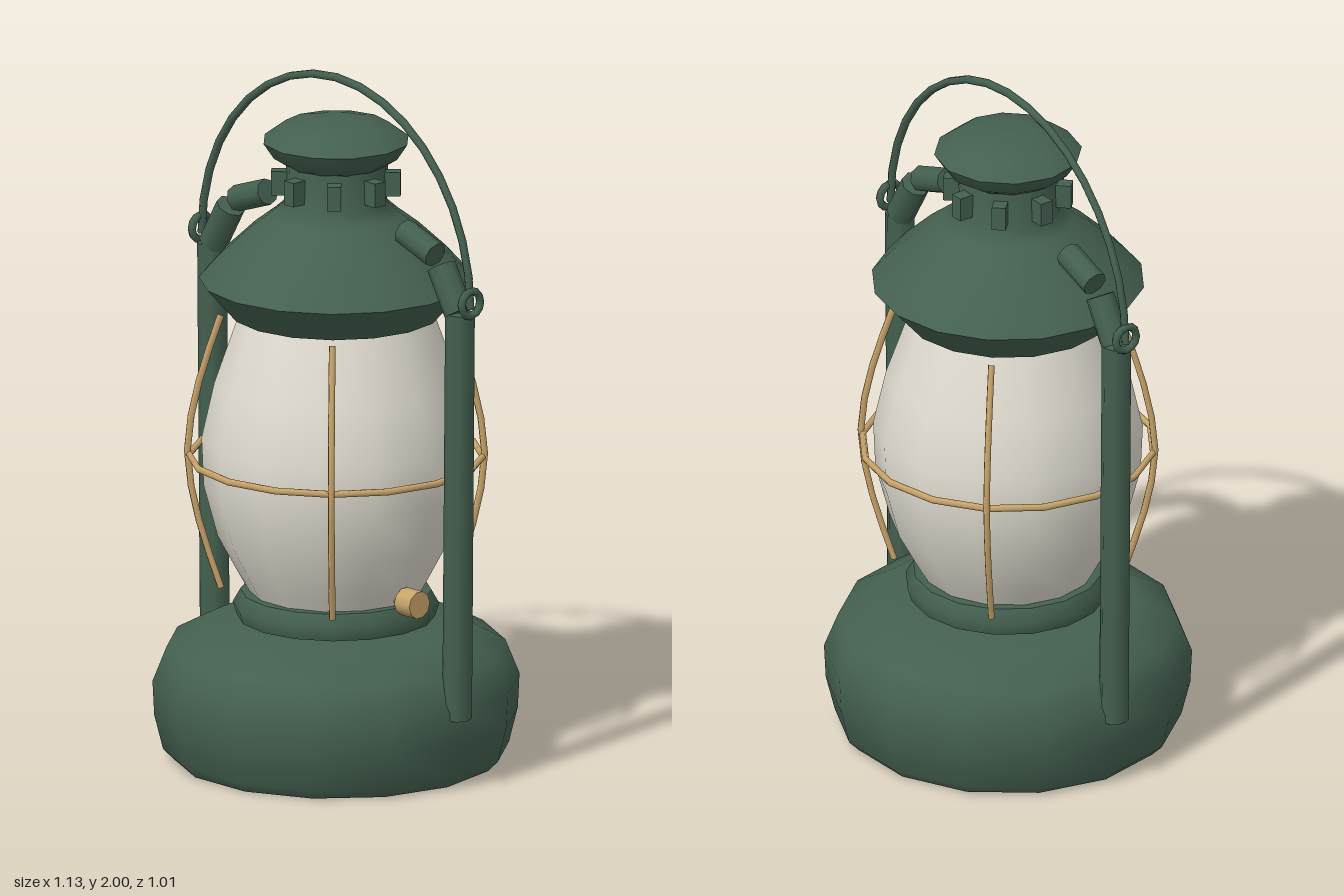
import * as THREE from 'three';

const V = (x, y, z = 0) => new THREE.Vector3(x, y, z);

export function createModel() {
  const group = new THREE.Group();
  const mat = (name, color) => {
    const m = new THREE.MeshStandardMaterial({ color });
    m.name = name;
    return m;
  };
  const green = mat('green enamel', 0x446050);
  const glass = mat('frosted glass', 0xe0dcd0);
  const brass = mat('brass', 0xc9a46a);

  const add = (name, geometry, material) => {
    const mesh = new THREE.Mesh(geometry, material);
    mesh.name = name;
    group.add(mesh);
    return mesh;
  };

  // Turned part; repeated profile points make a sharp edge
  const lathe = (name, profile, sides, material) => add(name, new THREE.LatheGeometry(
    profile.map(([r, y]) => new THREE.Vector2(r, y)), sides,
    sides % 4 ? Math.PI / sides : 0), material);

  // Straight capped cylinder between two points
  const rod = (name, a, b, r, sides, material) => {
    const d = b.clone().sub(a);
    const mesh = add(name, new THREE.CylinderGeometry(r, r, d.length(), sides), material);
    mesh.position.copy(a).add(b).multiplyScalar(0.5);
    mesh.quaternion.setFromUnitVectors(V(0, 1), d.normalize());
    return mesh;
  };

  // Fuel tank
  lathe('tank', [[0, 0], [0.46, 0], [0.46, 0], [0.49, 0.03], [0.515, 0.13], [0.52, 0.23],
    [0.48, 0.33], [0.37, 0.39], [0.15, 0.403], [0, 0.405]], 14, green);

  // Burner collar
  lathe('collar', [[0, 0.412], [0.28, 0.412], [0.28, 0.412], [0.292, 0.45],
    [0.27, 0.488], [0.27, 0.488], [0, 0.492]], 16, green);

  // Glass globe
  lathe('globe', [[0, 0.47], [0.235, 0.47], [0.235, 0.47], [0.27, 0.53], [0.335, 0.65],
    [0.375, 0.8], [0.381, 0.94], [0.345, 1.1], [0.275, 1.3], [0.25, 1.36]], 14, glass);

  // Hood and chimney neck
  lathe('hood', [[0, 1.3], [0.3, 1.3], [0.3, 1.3], [0.388, 1.4], [0.388, 1.4], [0.335, 1.46],
    [0.25, 1.54], [0.185, 1.59], [0.145, 1.625], [0.14, 1.76]], 16, green);

  // Chimney cap
  lathe('cap', [[0, 1.735], [0.14, 1.735], [0.18, 1.76], [0.21, 1.805], [0.21, 1.805],
    [0.15, 1.85], [0.08, 1.865], [0, 1.868]], 12, green);

  // Vent lugs around the neck
  for (let i = 0; i < 8; i++) {
    const a = i * Math.PI / 4;
    const lug = add('ventLug', new THREE.BoxGeometry(0.04, 0.07, 0.05), green);
    lug.position.set(Math.sin(a) * 0.158, 1.68, Math.cos(a) * 0.158);
    lug.rotation.y = a;
  }

  // Side tubes with bent elbows, and the handle eyelets
  for (const s of [1, -1]) {
    rod('sideTube', V(s * 0.5, 0.21), V(s * 0.512, 1.4), 0.042, 8, green);
    rod('lowerElbow', V(s * 0.507, 1.4), V(s * 0.435, 1.523), 0.042, 8, green);
    rod('upperElbow', V(s * 0.41, 1.55), V(s * 0.283, 1.595), 0.038, 8, green);
    const eyelet = add('eyelet', new THREE.TorusGeometry(0.036, 0.012, 6, 12), green);
    eyelet.position.set(s * 0.557, 1.437, 0);
    eyelet.rotation.y = Math.PI / 2;
  }

  // Carrying handle
  const arc = [];
  for (let i = 0; i <= 16; i++) {
    const a = Math.PI * (i / 16);
    arc.push(V(Math.cos(a) * 0.555, 1.42 + Math.sin(a) * 0.568));
  }
  add('handle', new THREE.TubeGeometry(new THREE.CatmullRomCurve3(arc), 18, 0.012, 6), green);

  // Wire guard: one hoop and four bowed uprights
  const hoop = add('guardHoop', new THREE.TorusGeometry(0.415, 0.01, 6, 16), brass);
  hoop.rotation.x = Math.PI / 2;
  hoop.position.y = 0.88;
  for (let i = 0; i < 4; i++) {
    const a = Math.PI / 4 + i * Math.PI / 2;
    const bow = [[0.325, 0.49], [0.388, 0.69], [0.42, 0.89], [0.388, 1.09], [0.325, 1.29]]
      .map(([r, y]) => V(Math.sin(a) * r, y, Math.cos(a) * r));
    add('guardWire', new THREE.TubeGeometry(new THREE.CatmullRomCurve3(bow), 8, 0.01, 6), brass);
  }

  // Wick knob
  rod('knobShaft', V(0.24, 0.51), V(0.29, 0.51), 0.014, 8, brass);
  rod('wickKnob', V(0.283, 0.51), V(0.345, 0.51), 0.04, 10, brass);

  return group;
}
